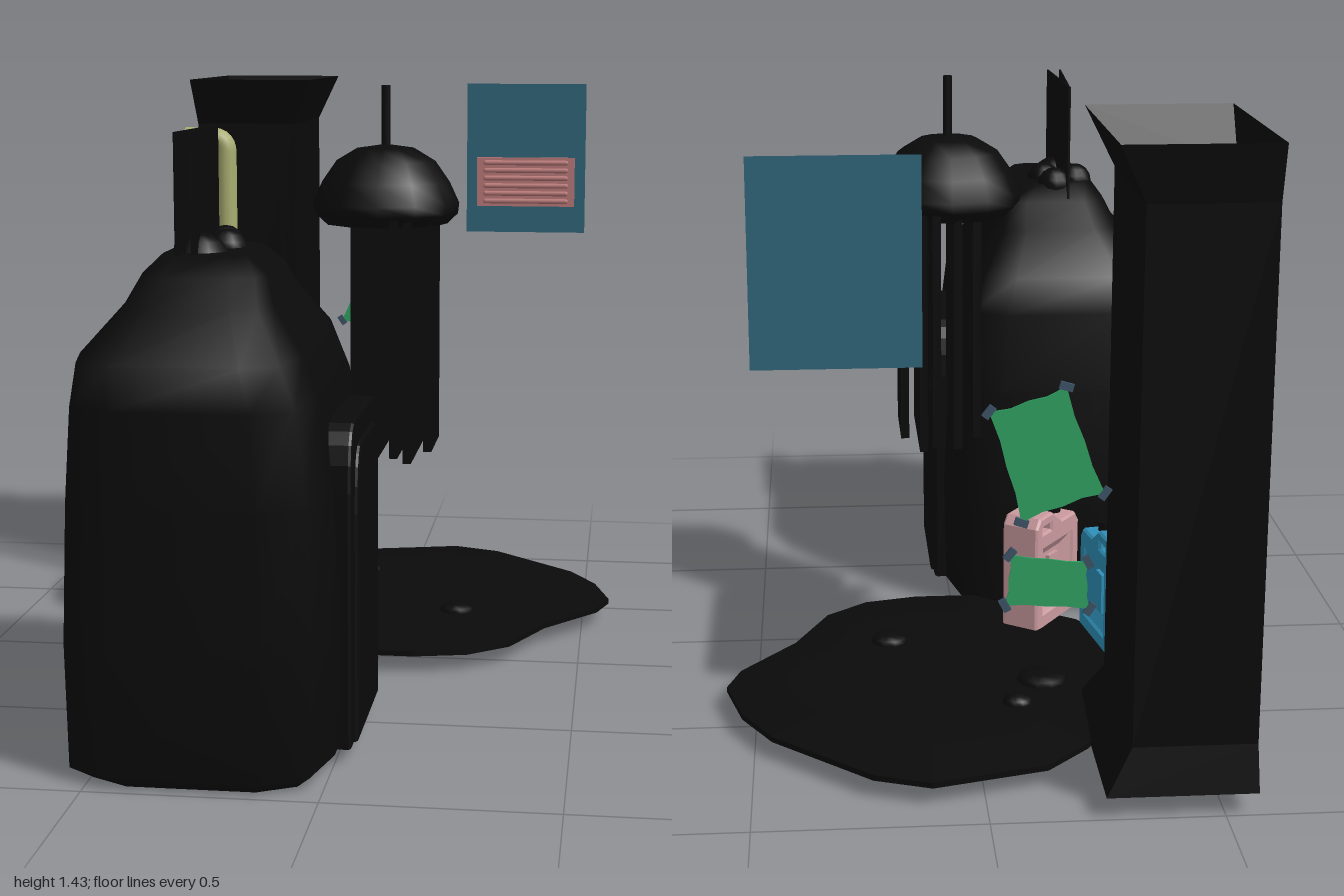
import * as THREE from 'three';

const material = (color, flat = false) =>
  new THREE.MeshStandardMaterial({ color, flatShading: flat, side: THREE.DoubleSide });
const black = material(0x0a0a0a), blackFlat = material(0x0a0a0a, true);
const olive = material(0xa8ad70), posterBlue = material(0x2f6478), ventPink = material(0xb87878);
const green = material(0x2fa060), tape = material(0x3c5266);
const canPink = material(0xc99a9e, true), canBlue = material(0x2f8fb8, true);

function add(parent, name, geometry, mat, x = 0, y = 0, z = 0) {
  const mesh = new THREE.Mesh(geometry, mat);
  mesh.name = name;
  mesh.position.set(x, y, z);
  parent.add(mesh);
  return mesh;
}
const box = (w, h, d) => new THREE.BoxGeometry(w, h, d);
const shapeOf = pts => new THREE.Shape(pts.map(p => new THREE.Vector2(...p)));

// Skins a list of rings, each a list of [x, y, z], with optional end caps
function loft(rings, capStart, capEnd) {
  const n = rings[0].length, pos = rings.flat(2), idx = [];
  for (let r = 0; r < rings.length - 1; r++)
    for (let i = 0; i < n; i++) {
      const a = r * n + i, b = r * n + (i + 1) % n;
      idx.push(a, a + n, b, b, a + n, b + n);
    }
  const last = (rings.length - 1) * n;
  for (let i = 1; i < n - 1; i++) {
    if (capStart) idx.push(0, i, i + 1);
    if (capEnd) idx.push(last, last + i + 1, last + i);
  }
  const g = new THREE.BufferGeometry();
  g.setAttribute('position', new THREE.Float32BufferAttribute(pos, 3));
  g.setIndex(idx);
  g.computeVertexNormals();
  return g;
}

// Horizontal rectangle ring, with two-step cut corners when c > 0
function rectRing(y, x0, x1, z0, z1, c = 0) {
  if (!c) return [[x0, y, z0], [x1, y, z0], [x1, y, z1], [x0, y, z1]];
  const cx = (x1 - x0) * c, cz = (z1 - z0) * c, k = 0.25;
  return [
    [x0, y, z0 + cz], [x0 + cx * k, y, z0 + cz * k], [x0 + cx, y, z0],
    [x1 - cx, y, z0], [x1 - cx * k, y, z0 + cz * k], [x1, y, z0 + cz],
    [x1, y, z1 - cz], [x1 - cx * k, y, z1 - cz * k], [x1 - cx, y, z1],
    [x0 + cx, y, z1], [x0 + cx * k, y, z1 - cz * k], [x0, y, z1 - cz]];
}

function createBackpack() {
  const g = new THREE.Group();
  g.name = 'backpack';
  const sections = [
    [0, -0.52, -0.03, 0.17, 0.96], [0.03, -0.57, 0.005, 0.14, 0.99], [0.3, -0.575, 0.012, 0.135, 0.995],
    [0.6, -0.565, 0, 0.15, 0.985], [0.8, -0.55, -0.025, 0.17, 0.98], [0.89, -0.535, -0.06, 0.185, 0.965],
    [0.99, -0.45, -0.13, 0.3, 0.86], [1.05, -0.42, -0.15, 0.38, 0.79], [1.09, -0.38, -0.2, 0.42, 0.75]];
  add(g, 'bag', loft(sections.map(s => rectRing(...s, 0.22)), true, true), black);

  // Arched front pocket with a raised inner flap
  const pocket = (name, half, top, depth, x) => {
    const s = shapeOf([[-half, 0.04], [half, 0.04], [half, top - 0.14]]);
    s.bezierCurveTo(half, top, half * 0.8, top, half * 0.5, top);
    s.lineTo(-half * 0.5, top);
    s.bezierCurveTo(-half * 0.8, top, -half, top, -half, top - 0.14);
    const geo = new THREE.ExtrudeGeometry(s, { depth, bevelSize: 0.008, bevelThickness: 0.008, bevelSegments: 2, curveSegments: 6 });
    add(g, name, geo, black, x, 0, 0.55).rotation.y = Math.PI / 2;
  };
  pocket('pocket', 0.215, 0.735, 0.05, -0.02);
  pocket('pocketFlap', 0.165, 0.68, 0.05, -0.012);

  // Loose things and paper sticking out of the top
  for (const [x, z, r] of [[-0.31, 0.62, 0.065], [-0.35, 0.51, 0.045], [-0.27, 0.53, 0.045], [-0.29, 0.45, 0.045]])
    add(g, 'ball', new THREE.SphereGeometry(r, 12, 8), black, x, 1.13 - r, z);
  for (const s of [-1, 1])
    add(g, 'paperSheet', box(0.004, 0.33, 0.36), black, -0.32 + s * 0.008, 1.185, 0.567).rotation.y = s * 0.05;
  return g;
}

function createTower() {
  const g = new THREE.Group();
  g.name = 'tower';
  // Open shaft, flared at both ends
  add(g, 'shaft', loft([
    rectRing(0.05, -0.57, -0.245, -1, -0.49), rectRing(0.155, -0.567, -0.3, -0.98, -0.555),
    rectRing(1.31, -0.567, -0.3, -0.98, -0.555), rectRing(1.43, -0.57, -0.245, -1, -0.47)]), blackFlat);
  add(g, 'frontLining', box(0.26, 1.15, 0.03), blackFlat, -0.435, 0.73, -0.573);
  add(g, 'sideLining', box(0.028, 1.15, 0.32), blackFlat, -0.316, 0.73, -0.745);
  // Raised frame on the front
  for (const x of [-0.5, -0.33]) add(g, 'frameStile', box(0.02, 1.08, 0.012), blackFlat, x, 0.73, -0.552);
  for (const y of [0.2, 1.26]) add(g, 'frameRail', box(0.19, 0.02, 0.012), blackFlat, -0.415, y, -0.552);
  return g;
}

function createChime() {
  const g = new THREE.Group();
  g.name = 'hangingChime';
  const profile = [[0, 1.1], [0.15, 1.1], [0.175, 1.125], [0.178, 1.15], [0.155, 1.2], [0.12, 1.25], [0.07, 1.28], [0, 1.29]];
  add(g, 'dome', new THREE.LatheGeometry(profile.map(p => new THREE.Vector2(...p)), 12), black, 0.02, 0, 0.03);
  add(g, 'stem', new THREE.CylinderGeometry(0.011, 0.011, 0.16, 8), black, 0.02, 1.35, 0.03);
  // Rows of hanging slats, longest in the middle
  for (const [x, half, bottom] of [[-0.045, 0.09, 0.55], [0.005, 0.15, 0.54], [0.057, 0.165, 0.55], [0.088, 0.15, 0.535], [0.132, 0.1, 0.555]]) {
    const count = Math.round(half / 0.03), step = 2 * half / count;
    for (let i = 0; i < count; i++)
      add(g, 'slat', box(0.02, 1.12 - bottom, step * 0.96), blackFlat, x, (1.12 + bottom) / 2, 0.027 - half + (i + 0.5) * step);
  }
  return g;
}

function createCan(name, mat, x, z, dx, dz) {
  const g = new THREE.Group();
  g.name = name;
  const rect = (x0, x1, y0, y1) => [[x0, y0], [x1, y0], [x1, y1], [x0, y1]];
  const outline = shapeOf([[-0.105, 0.07], [0.105, 0.07], [0.105, 0.3], [0.09, 0.32], [0.02, 0.32], [-0.03, 0.355], [-0.09, 0.355], [-0.105, 0.335]]);
  const window_ = rect(-0.08, 0.08, 0.1, 0.28);
  outline.holes.push(shapeOf(window_), shapeOf(rect(-0.085, -0.03, 0.312, 0.338)));
  add(g, 'shell', new THREE.ExtrudeGeometry(outline, { depth: 0.086, bevelSize: 0.005, bevelThickness: 0.006, bevelSegments: 1 }), mat, 0, 0, -0.043);
  // Dished side panels with a raised middle
  const at = (pts, d) => pts.map(p => [...p, d]);
  for (const s of [-1, 1]) {
    add(g, 'sidePanel', loft([at(window_, s * 0.046), at(rect(-0.045, 0.045, 0.13, 0.25), s * 0.026)], false, true), mat);
    add(g, 'sideRib', box(0.045, 0.1, 0.012), mat, 0, 0.19, s * 0.03);
  }
  add(g, 'cap', new THREE.CylinderGeometry(0.017, 0.017, 0.03, 10), black, 0.066, 0.333, 0);
  g.position.set(x, 0, z);
  g.rotation.y = Math.atan2(-dz, dx);
  return g;
}

function createPuddle() {
  const g = new THREE.Group();
  g.name = 'groundPatch';
  const outline = [
    [0.115, -0.915], [0.24, -0.87], [0.46, -0.67], [0.53, -0.55], [0.57, -0.4], [0.54, -0.31], [0.41, -0.15],
    [0.33, 0.02], [0.23, 0.1], [0.1, 0.13], [-0.05, 0.13], [-0.17, 0.04], [-0.3, -0.05], [-0.38, -0.17],
    [-0.41, -0.3], [-0.41, -0.45], [-0.33, -0.6], [-0.24, -0.75], [-0.14, -0.85], [0, -0.885]];
  const ring = (y, k) => outline.map(([x, z]) => [0.08 + (x - 0.08) * k, y, -0.4 + (z + 0.4) * k]);
  add(g, 'patch', loft([ring(0.042, 1), ring(0.055, 1), ring(0.072, 0.72)], true, true), blackFlat);
  for (const [x, z, r] of [[-0.17, -0.44, 0.06], [-0.1, -0.56, 0.035], [0.18, -0.19, 0.045]])
    add(g, 'pebble', new THREE.SphereGeometry(r, 10, 6), black, x, 0.072, z).scale.y = 0.02 / r;
  return g;
}

function createPipe() {
  // Upright pipe with an elbow at each end
  const v = (x, y) => new THREE.Vector3(x, y, -0.415), path = new THREE.CurvePath();
  path.add(new THREE.LineCurve3(v(-0.57, 1.28), v(-0.5, 1.28)));
  path.add(new THREE.QuadraticBezierCurve3(v(-0.5, 1.28), v(-0.46, 1.28), v(-0.46, 1.24)));
  path.add(new THREE.LineCurve3(v(-0.46, 1.24), v(-0.46, 0.11)));
  path.add(new THREE.QuadraticBezierCurve3(v(-0.46, 0.11), v(-0.46, 0.07), v(-0.5, 0.07)));
  path.add(new THREE.LineCurve3(v(-0.5, 0.07), v(-0.57, 0.07)));
  const mesh = new THREE.Mesh(new THREE.TubeGeometry(path, 160, 0.026, 12), olive);
  mesh.name = 'drainPipe';
  return mesh;
}

function createWallItems() {
  const g = new THREE.Group();
  g.name = 'wallItems';
  add(g, 'wallPanel', new THREE.PlaneGeometry(0.34, 0.425), posterBlue, 0.305, 1.197, -0.96);
  add(g, 'vent', box(0.28, 0.14, 0.01), ventPink, 0.305, 1.13, -0.953);
  for (let i = 0; i < 6; i++) {
    const slat = add(g, 'ventSlat', new THREE.CapsuleGeometry(0.007, 0.23, 3, 8), ventPink, 0.305, 1.075 + i * 0.022, -0.948);
    slat.rotation.z = Math.PI / 2;
  }
  // Cloth notices, sides drawn in, taped at the corners
  for (const corners of [
    [[-0.232, 0.717], [-0.063, 0.658], [0.004, 0.893], [-0.151, 0.943]],
    [[-0.205, 0.467], [-0.03, 0.48], [-0.04, 0.59], [-0.2, 0.57]]]) {
    const cx = corners.reduce((s, c) => s + c[0] / 4, 0), cy = corners.reduce((s, c) => s + c[1] / 4, 0);
    const pts = [];
    corners.forEach((c, i) => {
      const d = corners[(i + 1) % 4];
      for (let k = 0; k < 4; k++) {
        const t = k / 4, pull = k === 0 ? 0 : k === 2 ? 0.03 : 0.06;
        const x = c[0] + (d[0] - c[0]) * t, y = c[1] + (d[1] - c[1]) * t;
        pts.push([x + (cx - x) * pull, y + (cy - y) * pull]);
      }
    });
    add(g, 'clothNotice', new THREE.ExtrudeGeometry(shapeOf(pts), { depth: 0.004, bevelEnabled: false }), green, 0, 0, -0.974);
    for (const [x, y] of corners)
      add(g, 'tape', box(0.028, 0.016, 0.008), tape, x, y, -0.972).rotation.z = Math.atan2(y - cy, x - cx) + Math.PI / 2;
  }
  return g;
}

export function createModel() {
  const model = new THREE.Group();
  model.name = 'streetProps';
  model.add(createBackpack(), createTower(), createChime(), createPuddle(), createPipe(), createWallItems(),
    createCan('pinkCan', canPink, -0.21, -0.04, -0.57, 0.82), createCan('blueCan', canBlue, -0.37, -0.195, 0.18, 0.98));
  return model;
}
